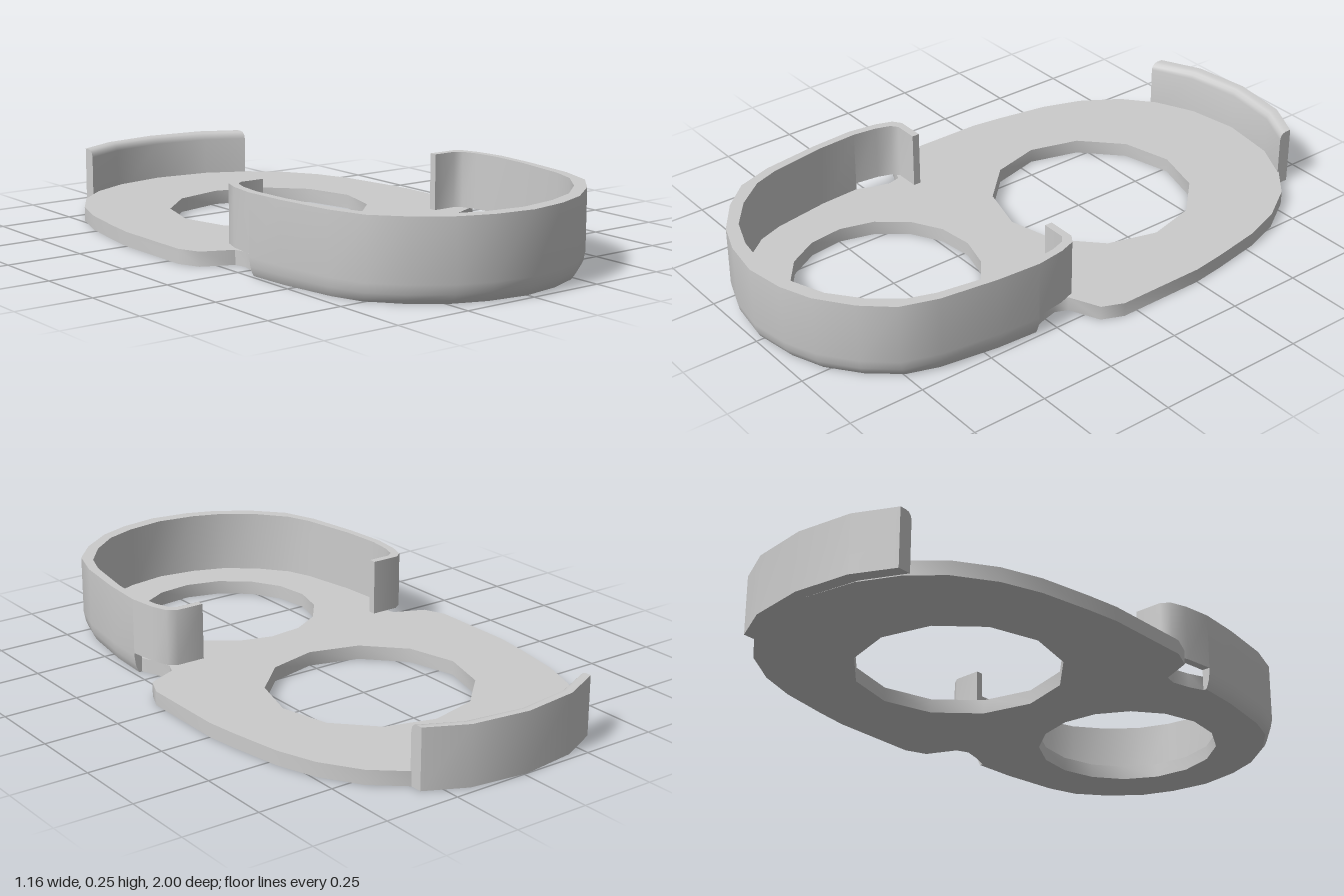
import * as THREE from 'three';
import { toCreasedNormals } from 'three/addons/utils/BufferGeometryUtils.js';

const material = new THREE.MeshStandardMaterial({ color: 0xcccccc });

function makeMesh(name, geometry) {
  const mesh = new THREE.Mesh(toCreasedNormals(geometry, 0.8), material);
  mesh.name = name;
  return mesh;
}

// Joins equal-sized closed sections into a solid with capped ends
function loft(sections) {
  const n = sections[0].length;
  const positions = [];
  const tri = (a, b, c) => positions.push(...a, ...b, ...c);
  for (let i = 0; i < sections.length - 1; i++) {
    for (let j = 0; j < n; j++) {
      const k = (j + 1) % n;
      const [a, b] = [sections[i][j], sections[i][k]];
      const [c, d] = [sections[i + 1][j], sections[i + 1][k]];
      tri(a, b, c);
      tri(b, d, c);
    }
  }
  const last = sections[sections.length - 1];
  for (let j = 1; j < n - 1; j++) {
    tri(sections[0][0], sections[0][j + 1], sections[0][j]);
    tri(last[0], last[j], last[j + 1]);
  }
  const geometry = new THREE.BufferGeometry();
  geometry.setAttribute('position', new THREE.Float32BufferAttribute(positions, 3));
  return geometry;
}

// Section of [height, fraction from outer to inner edge] at a station [ox, oz, ix, iz]
function wallSection([ox, oz, ix, iz], profile, floor = 0) {
  return profile.map(([y, f]) => {
    const t = y < floor && f < 1 ? 0 : f;
    return [ox + (ix - ox) * t, Math.max(y, floor), oz + (iz - oz) * t];
  });
}

// Runs opposite to the plate outline so the hole wall faces inward
function polygonHole(cx, cz, radius, sides, turn) {
  const points = [];
  for (let i = 0; i < sides; i++) {
    const a = turn - (i / sides) * Math.PI * 2;
    points.push(new THREE.Vector2(cx + Math.sin(a) * radius, -cz + Math.cos(a) * radius));
  }
  return new THREE.Path(points);
}

// Half of the front cup wall, from hooked tip to front centre
const tip = [
  [0.345, 0.145, 0.345, 0.17], [0.44, 0.145, 0.425, 0.17], [0.468, 0.165, 0.447, 0.187],
  [0.487, 0.22, 0.463, 0.235], [0.5, 0.315, 0.473, 0.315],
];
const body = [
  [0.5, 0.315, 0.473, 0.315], [0.491, 0.46, 0.466, 0.45], [0.465, 0.65, 0.435, 0.64],
  [0.425, 0.77, 0.405, 0.725], [0.345, 0.86, 0.33, 0.82], [0.235, 0.94, 0.235, 0.895],
  [0.13, 0.98, 0.13, 0.935], [0, 1, 0, 0.955],
];
const cupX = -0.004;

function createPlate() {
  // Right half outlines, back to front: broad rear, then waist and cup floor
  const rear = [
    [0.18, -0.93], [0.31, -0.87], [0.41, -0.785], [0.49, -0.66], [0.535, -0.53],
    [0.565, -0.36], [0.58, -0.25], [0.58, 0.05], [0.55, 0.12], [0.45, 0.165],
  ];
  const cup = [[0.437, 0.205], [0.452, 0.265], ...body.slice(0, -1).map((s) => [s[2], s[3]])];
  const side = (s) => [
    ...rear.map(([x, z]) => [s * x, z]),
    ...cup.map(([x, z]) => [s * x + cupX, z]),
  ];
  const outline = [[-0.01, -0.957], ...side(1), [cupX, 0.955], ...side(-1).reverse()];
  const shape = new THREE.Shape(outline.map(([x, z]) => new THREE.Vector2(x, -z)));
  shape.holes.push(polygonHole(0.01, -0.297, 0.331, 12, 0.02));
  shape.holes.push(polygonHole(-0.007, 0.521, 0.299, 16, 0.08));
  const geometry = new THREE.ExtrudeGeometry(shape, { depth: 0.047, bevelEnabled: false });
  geometry.rotateX(-Math.PI / 2);
  return makeMesh('basePlate', geometry);
}

function createCupWall() {
  const profile = [
    [0, 0.6], [0.012, 0.36], [0.03, 0.15], [0.06, 0], [0.255, 0], [0.255, 1], [0, 1],
  ];
  // The hooked tips float above the plate, leaving a notch below
  const half = [
    ...tip.map((s) => wallSection(s, profile, 0.07)),
    ...body.map((s) => wallSection(s, profile)),
  ];
  const mirrored = half.slice(0, -1).reverse()
    .map((section) => section.map(([x, y, z]) => [-x, y, z]));
  const geometry = loft([...half, ...mirrored]);
  geometry.translate(cupX, 0, 0);
  return makeMesh('frontCupWall', geometry);
}

function createRearLip() {
  // Upright lip with its inner top edge rounded
  const profile = [
    [0, 0], [0.195, 0], [0.195, 0.45], [0.192, 0.725], [0.183, 0.926], [0.17, 1], [0, 1],
  ];
  const stations = [
    [-0.335, -0.91, -0.335, -0.865], [-0.2, -0.975, -0.195, -0.93], [-0.012, -1, -0.012, -0.957],
    [0.18, -0.975, 0.18, -0.93], [0.31, -0.91, 0.31, -0.865],
  ];
  return makeMesh('rearLip', loft(stations.map((s) => wallSection(s, profile))));
}

export function createModel() {
  const model = new THREE.Group();
  model.name = 'doubleRingHolder';
  model.add(createPlate(), createCupWall(), createRearLip());
  return model;
}
